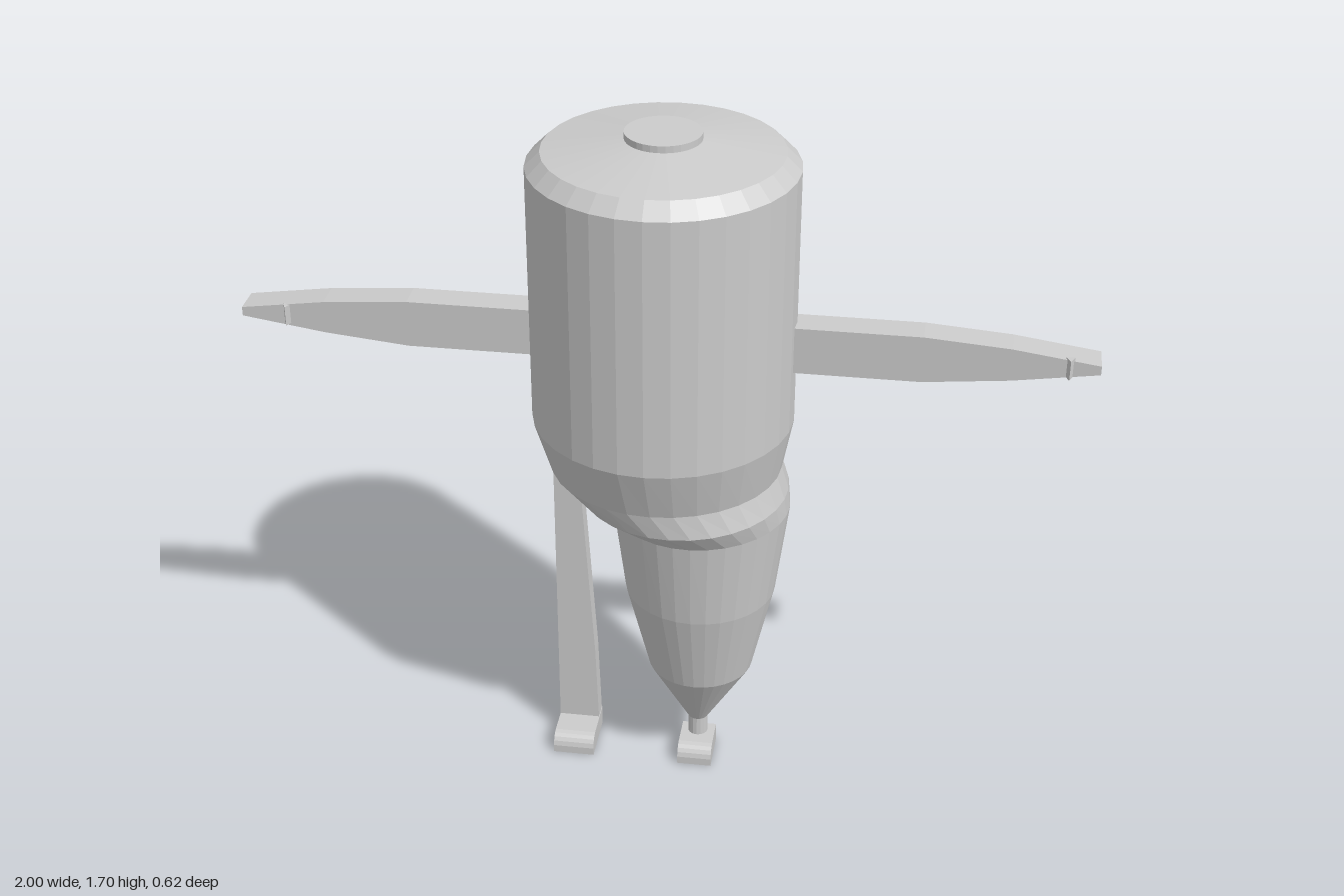
import * as THREE from 'three';

const material = new THREE.MeshStandardMaterial({ color: 0xcccccc, flatShading: true });

function add(group, name, geometry) {
  const mesh = new THREE.Mesh(geometry, material);
  mesh.name = name;
  group.add(mesh);
  return mesh;
}

// Closed skin over elliptical rings, listed top to bottom:
// [left x, right x, z radius, left y, right y]
function loft(rings, sides = 32) {
  const positions = [], index = [];
  rings.forEach(([x0, x1, rz, y0, y1 = y0]) => {
    for (let i = 0; i < sides; i++) {
      const a = (i / sides) * Math.PI * 2, t = (Math.cos(a) + 1) / 2;
      positions.push(x0 + (x1 - x0) * t, y0 + (y1 - y0) * t, rz * Math.sin(a));
    }
  });
  for (let r = 0; r < rings.length - 1; r++) {
    for (let i = 0; i < sides; i++) {
      const a = r * sides + i, b = r * sides + ((i + 1) % sides);
      index.push(a, b, a + sides, b, b + sides, a + sides);
    }
  }
  const geometry = new THREE.BufferGeometry();
  geometry.setAttribute('position', new THREE.Float32BufferAttribute(positions, 3));
  geometry.setIndex(index);
  const flat = geometry.toNonIndexed();
  flat.computeVertexNormals();
  return flat;
}

// Outline in x/y, given thickness from z0 to z1
function slab(points, z0, z1) {
  const shape = new THREE.Shape(points.map(([x, y]) => new THREE.Vector2(x, y)));
  return new THREE.ExtrudeGeometry(shape, { depth: z1 - z0, bevelEnabled: false }).translate(0, 0, z0);
}

// Foot: rounded-toe side profile in z/y, extruded across x
function foot(x0, x1, back) {
  const shape = new THREE.Shape();
  shape.moveTo(back, 0);
  shape.lineTo(0.085, 0);
  shape.lineTo(0.085, 0.02);
  shape.quadraticCurveTo(0.08, 0.047, 0.055, 0.05);
  shape.lineTo(back, 0.05);
  shape.closePath();
  return new THREE.ExtrudeGeometry(shape, { depth: x1 - x0, bevelEnabled: false, curveSegments: 4 })
    .rotateY(-Math.PI / 2).translate(x1, 0, 0);
}

export function createModel() {
  const model = new THREE.Group();
  model.name = 'figure';

  // Barrel body flowing into the thick tapering leg
  add(model, 'bodyAndThickLeg', loft([
    [0, 0, 0, 1.685],
    [-0.09, 0.09, 0.09, 1.682],
    [-0.275, 0.275, 0.275, 1.655],
    [-0.31, 0.31, 0.31, 1.62],
    [-0.31, 0.31, 0.31, 0.99],
    [-0.27, 0.285, 0.265, 0.855, 0.86],
    [-0.2, 0.303, 0.26, 0.79, 0.8],
    [-0.12, 0.308, 0.215, 0.735, 0.75],
    [-0.092, 0.277, 0.185, 0.51],
    [-0.035, 0.225, 0.13, 0.28],
    [0.065, 0.115, 0.025, 0.1],
    [0.09, 0.09, 0, 0.1],
  ]));

  // Small disc on the crown
  add(model, 'topCap', new THREE.CylinderGeometry(0.088, 0.088, 0.03, 32)).position.y = 1.683;

  // Ankle and foot of the thick leg
  add(model, 'ankle', new THREE.CylinderGeometry(0.025, 0.025, 0.08, 16)).position.set(0.09, 0.07, 0);
  add(model, 'thickLegFoot', foot(0.048, 0.134, -0.025));

  // Thin leg, widening toward the ground
  add(model, 'thinLeg', slab([
    [-0.273, 0], [-0.17, 0], [-0.178, 0.26], [-0.21, 0.8], [-0.21, 0.87], [-0.265, 0.87], [-0.273, 0.83],
  ], -0.055, -0.012));
  add(model, 'thinLegFoot', foot(-0.273, -0.17, -0.055));

  // Tapered arms, each with a small thumb ridge on the front
  for (const [side, name, thumbX] of [[1, 'left', 0.93], [-1, 'right', 0.89]]) {
    const arm = new THREE.Group();
    arm.name = name + 'Arm';
    const outline = [
      [0.25, 1.135], [0.6, 1.135], [0.8, 1.155], [1, 1.185],
      [1, 1.207], [0.8, 1.235], [0.6, 1.25], [0.25, 1.25],
    ].map(([x, y]) => [x * side, y]);
    add(arm, name + 'ArmPaddle', slab(outline, -0.038, 0.036));
    const ridge = slab([[-0.01, 0.03], [0.01, 0.03], [0, 0.052]], -0.024, 0.024).rotateX(Math.PI / 2);
    add(arm, name + 'Thumb', ridge).position.set(thumbX * side, 1.198, 0);
    model.add(arm);
  }

  return model;
}
